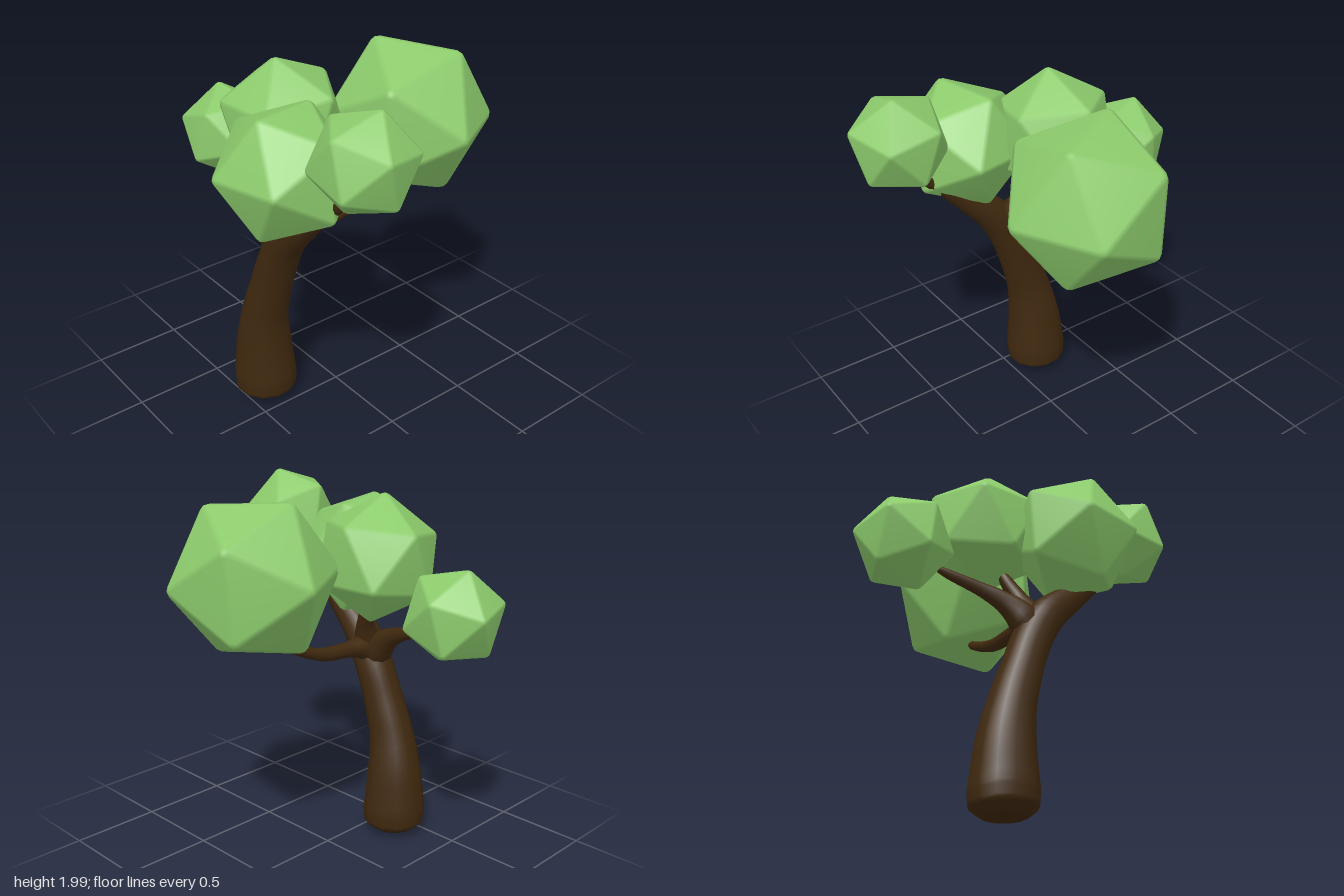
import * as THREE from 'three';
import { mergeVertices } from 'three/addons/utils/BufferGeometryUtils.js';
import { ConvexGeometry } from 'three/addons/geometries/ConvexGeometry.js';

const V = (p) => new THREE.Vector3(p[0], p[1], p[2]);

// Rotation frame whose x axis is a and whose xy plane holds b
function frame(a, b) {
  const x = a.clone().normalize();
  const z = x.clone().cross(b).normalize();
  return new THREE.Matrix4().makeBasis(x, z.clone().cross(x), z);
}

// Weld and smooth a geometry
function smooth(geo) {
  geo.deleteAttribute('normal');
  if (geo.attributes.uv) geo.deleteAttribute('uv');
  const out = mergeVertices(geo, 1e-4);
  out.computeVertexNormals();
  return out;
}

// Icosahedron with softened edges; one corner points along a, a neighbour towards b
function leafClump(radius, a, b) {
  const pos = new THREE.IcosahedronGeometry(radius, 0).attributes.position;
  const corner = (i) => new THREE.Vector3().fromBufferAttribute(pos, i);
  const points = [];
  for (let f = 0; f < pos.count; f += 3) {
    const tri = [corner(f), corner(f + 1), corner(f + 2)];
    const mid = tri[0].clone().add(tri[1]).add(tri[2]).divideScalar(3);
    for (const c of tri) points.push(c.clone().lerp(mid, 0.13));
  }
  // slightly raised corner tips, one for each distinct corner
  const tips = [];
  for (let i = 0; i < pos.count; i++) {
    const c = corner(i).multiplyScalar(0.972);
    if (!tips.some((t) => t.distanceTo(c) < radius * 0.1)) tips.push(c);
  }
  const geo = smooth(new ConvexGeometry([...points, ...tips]));
  const turn = frame(V(a), V(b)).multiply(frame(corner(0), corner(1)).transpose());
  return geo.applyMatrix4(turn);
}

// Tapered limb through stations [x, y, z, radius]
function limb(stations, sides, steps) {
  const curve = new THREE.CatmullRomCurve3(stations.map(V));
  const last = stations.length - 1;
  const verts = [];
  const index = [];
  const u = new THREE.Vector3(0.3, 0.2, 0.9);
  for (let i = 0; i <= steps; i++) {
    const t = i / steps;
    const k = Math.min(Math.floor(t * last), last - 1);
    const r = THREE.MathUtils.lerp(stations[k][3], stations[k + 1][3], t * last - k);
    const c = curve.getPoint(t);
    const dir = curve.getTangent(t);
    u.addScaledVector(dir, -u.dot(dir)).normalize();
    const w = dir.clone().cross(u);
    for (let j = 0; j < sides; j++) {
      const ang = (j / sides) * Math.PI * 2;
      const p = c.clone().addScaledVector(u, r * Math.cos(ang)).addScaledVector(w, r * Math.sin(ang));
      verts.push(p.x, p.y, p.z);
      if (i < steps) {
        const a = i * sides + j;
        const b = i * sides + (j + 1) % sides;
        index.push(a, b, b + sides, a, b + sides, a + sides);
      }
    }
  }
  const geo = new THREE.BufferGeometry();
  geo.setAttribute('position', new THREE.Float32BufferAttribute(verts, 3));
  geo.setIndex(index);
  return smooth(geo);
}

export function createModel() {
  const tree = new THREE.Group();
  tree.name = 'tree';
  const bark = new THREE.MeshStandardMaterial({ color: 0x40290f });
  bark.name = 'dark brown bark';
  const leaf = new THREE.MeshStandardMaterial({ color: 0x8ccb6c });
  leaf.name = 'leaf green';

  const add = (name, geo, mat, at = [0, 0, 0]) => {
    const mesh = new THREE.Mesh(geo, mat);
    mesh.name = name;
    mesh.position.set(...at);
    tree.add(mesh);
  };

  // Trunk, bending forward into the front leader
  add('trunk', limb([
    [-0.38, 0.005, -0.16, 0], [-0.38, 0.03, -0.16, 0.115], [-0.38, 0.075, -0.16, 0.17],
    [-0.38, 0.16, -0.16, 0.176], [-0.385, 0.38, -0.152, 0.152], [-0.392, 0.58, -0.12, 0.125],
    [-0.387, 0.8, -0.052, 0.11], [-0.382, 0.98, 0.015, 0.106], [-0.385, 1.13, 0.1, 0.1],
    [-0.39, 1.27, 0.25, 0.075], [-0.39, 1.4, 0.4, 0.048], [-0.385, 1.53, 0.55, 0.032],
    [-0.37, 1.65, 0.62, 0],
  ], 12, 48), bark);

  // Side branches
  add('leftBranch', limb([
    [-0.4, 1.02, 0.02, 0.06], [-0.29, 1.09, 0.03, 0.066], [-0.19, 1.1, 0.03, 0.044],
    [0, 1.115, 0.03, 0.037], [0.15, 1.165, 0.04, 0.03], [0.29, 1.235, 0.05, 0.025], [0.4, 1.33, 0.06, 0],
  ], 10, 24), bark);
  add('backBranch', limb([
    [-0.38, 0.98, 0.03, 0.08], [-0.37, 1.09, -0.035, 0.085], [-0.35, 1.165, -0.13, 0.055],
    [-0.32, 1.22, -0.25, 0.036], [-0.28, 1.28, -0.42, 0.025], [-0.25, 1.34, -0.58, 0],
  ], 10, 24), bark);
  add('middleBranch', limb([
    [-0.38, 1.0, 0.03, 0.07], [-0.34, 1.13, 0.03, 0.075], [-0.29, 1.24, 0, 0.048],
    [-0.25, 1.36, -0.06, 0.035], [-0.22, 1.5, -0.12, 0],
  ], 10, 20), bark);

  // Leaf clumps: name, centre, radius, corner direction, neighbouring corner direction
  const clumps = [
    ['leftLeaves', [0.42, 1.59, 0.09], 0.45, [-0.03, -0.03, 0.88], [0.39, -0.03, 0.2]],
    ['frontLeaves', [-0.36, 1.75, 0.65], 0.268, [0.06, 0.25, 0.05], [-0.06, 0.06, 0.24]],
    ['rightLeaves', [-0.473, 1.575, 0.215], 0.36, [-0.335, 0.01, -0.11], [-0.165, 0.295, 0.03]],
    ['middleLeaves', [-0.2, 1.64, -0.165], 0.345, [-0.05, 0.33, 0], [0.05, 0.15, -0.3]],
    ['backLeaves', [-0.23, 1.42, -0.65], 0.268, [0.08, 0.035, -0.25], [0, 0.25, -0.075]],
  ];
  for (const [name, at, r, a, b] of clumps) add(name, leafClump(r, a, b), leaf, at);

  return tree;
}
